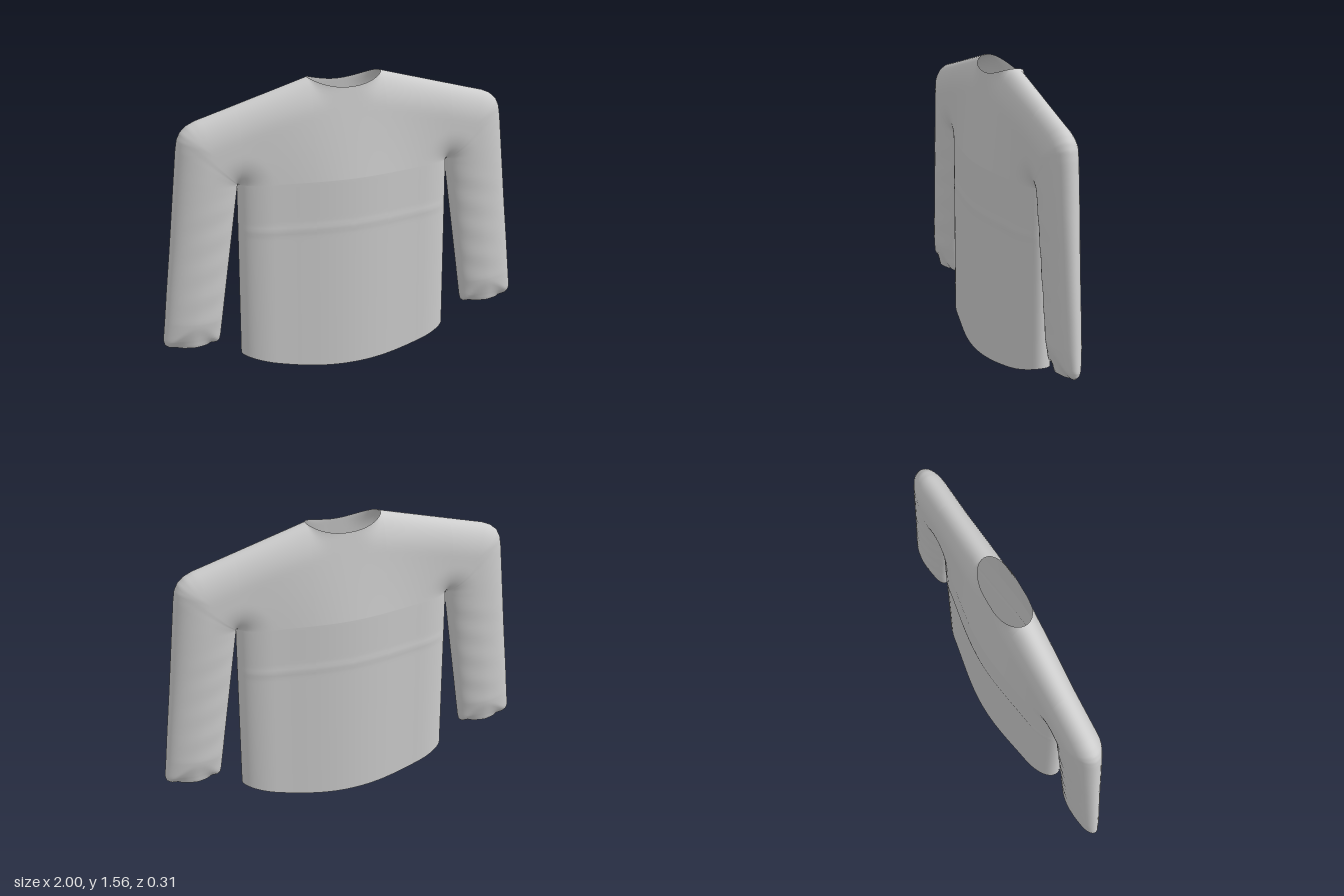
import * as THREE from 'three';
import { mergeVertices } from 'three/addons/utils/BufferGeometryUtils.js';

const ARMPIT = [0.58, 1.04], SIDE = 0.58, NECK = 0.2;

// Sleeve ribs: outer x, y, inner x, y, half thickness
const RIBS = [
  [0.58, 1.452, ...ARMPIT, 0.088],
  [0.70, 1.418, ...ARMPIT, 0.088],
  [0.79, 1.393, ...ARMPIT, 0.088],
  [0.835, 1.372, ...ARMPIT, 0.088],
  [0.868, 1.342, ...ARMPIT, 0.088],
  [0.886, 1.305, ...ARMPIT, 0.087],
  [0.895, 1.25, ...ARMPIT, 0.087],
  [0.908, 1.12, ...ARMPIT, 0.086],
  [0.920, 1.0, 0.584, 1.01, 0.084],
  [0.945, 0.75, 0.62, 0.75, 0.078],
  [0.972, 0.5, 0.658, 0.48, 0.074],
  [0.988, 0.34, 0.68, 0.32, 0.071],
  [1.0, 0.235, 0.693, 0.225, 0.060],
  [0.993, 0.207, 0.700, 0.195, 0.055],
  [0.97, 0.19, 0.718, 0.181, 0.050],
  [0.93, 0.185, 0.755, 0.182, 0.046],
];

// Closed seams: shoulder and outer sleeve, then inner sleeve and body side
const SEAMS = [
  [[NECK, 1.56], ...RIBS.map((r) => [r[0], r[1]])],
  [[SIDE, 0.05], ARMPIT, ...RIBS.slice(8).map((r) => [r[2], r[3]])],
];

function seamDistance(x, y) {
  let best = Infinity;
  for (const line of SEAMS) {
    for (let i = 1; i < line.length; i++) {
      const [ax, ay] = line[i - 1], dx = line[i][0] - ax, dy = line[i][1] - ay;
      const t = THREE.MathUtils.clamp(((x - ax) * dx + (y - ay) * dy) / (dx * dx + dy * dy), 0, 1);
      best = Math.min(best, Math.hypot(x - ax - t * dx, y - ay - t * dy));
    }
  }
  return best < 1e-6 ? 0 : best;
}

// Cloth rounds off towards every seam
function puff(x, y, thickness) {
  const k = 1 - Math.min(seamDistance(x, y) / 0.165, 1);
  return [x, y, thickness * Math.sqrt(1 - k * k)];
}

function bodyThickness(x, y) {
  const middle = y < 1.04 ? 0.15 : THREE.MathUtils.lerp(0.15, 0.09, Math.min((y - 1.04) / 0.47, 1));
  const fall = (1 + Math.cos(Math.PI * Math.min(x / SIDE, 1))) / 2;
  const crease = 0.003 * Math.exp(-(((y - 0.79) / 0.018) ** 2));
  return 0.088 + (middle - 0.088) * fall + crease;
}

const hemY = (x) => 0.09 * (x / SIDE) ** 2.2;
const topY = (x) => x < NECK ? 1.512 + 0.048 * (x / NECK) ** 2
  : THREE.MathUtils.lerp(1.56, 1.452, (x - NECK) / (SIDE - NECK));
const easeBoth = (t) => (1 - Math.cos(Math.PI * t)) / 2;
const easeOut = (t) => Math.sin(Math.PI * t / 2);

// Columns of the torso from the centre to the side
function torsoGrid() {
  const xs = [];
  for (let i = 0; i < 10; i++) xs.push(NECK * easeOut(i / 10));
  for (let i = 0; i <= 18; i++) xs.push(NECK + (SIDE - NECK) * easeOut(i / 18));
  return xs.map((x) => {
    const column = [];
    for (let j = 0; j < 60; j++) {
      const y = THREE.MathUtils.lerp(hemY(x), ARMPIT[1], j / 60);
      column.push(puff(x, y, bodyThickness(x, y)));
    }
    for (let j = 0; j <= 24; j++) {
      const y = THREE.MathUtils.lerp(ARMPIT[1], topY(x), easeBoth(j / 24));
      column.push(puff(x, y, bodyThickness(x, y)));
    }
    return column;
  });
}

// Ribs fan around the armpit, then run down to the cuff
function sleeveGrid() {
  const grid = [];
  for (let i = 0; i < RIBS.length - 1; i++) {
    const steps = i > 6 && i < 12 ? 8 : 4;
    for (let s = i ? 1 : 0; s <= steps; s++) {
      const [ox, oy, ix, iy, th] = RIBS[i].map((v, k) => THREE.MathUtils.lerp(v, RIBS[i + 1][k], s / steps));
      const rib = [];
      for (let j = 0; j <= 24; j++) {
        const t = easeBoth(j / 24);
        const x = THREE.MathUtils.lerp(ix, ox, t), y = THREE.MathUtils.lerp(iy, oy, t);
        // Light puckers along the arm
        const pucker = y < 0.95 ? 1 + 0.025 * Math.sin(y * 42 + x * 9) * (1 - t) : 1;
        rib.push(puff(x, y, th * pucker));
      }
      grid.push(rib);
    }
  }
  return grid;
}

// Mirror the quarter shell left to right and front to back
function shell(grids) {
  const positions = [];
  for (const sx of [1, -1]) for (const sz of [1, -1]) {
    const put = (...pts) => {
      if (sx * sz < 0) pts.reverse();
      for (const p of pts) positions.push(p[0] * sx, p[1], p[2] * sz);
    };
    for (const g of grids) for (let i = 0; i < g.length - 1; i++) for (let j = 0; j < g[i].length - 1; j++) {
      const a = g[i][j], b = g[i + 1][j], c = g[i + 1][j + 1], d = g[i][j + 1];
      put(a, b, c);
      put(a, c, d);
    }
  }
  const geometry = new THREE.BufferGeometry();
  geometry.setAttribute('position', new THREE.Float32BufferAttribute(positions, 3));
  const merged = mergeVertices(geometry, 1e-4);
  merged.computeVertexNormals();
  return merged;
}

export function createModel() {
  const cloth = new THREE.MeshStandardMaterial({ color: 0xcccccc, side: THREE.DoubleSide });
  cloth.name = 'light grey cloth';
  const sweater = new THREE.Mesh(shell([torsoGrid(), sleeveGrid()]), cloth);
  sweater.name = 'longSleevedShirt';
  const model = new THREE.Group();
  model.name = 'shirt';
  model.add(sweater);
  return model;
}
